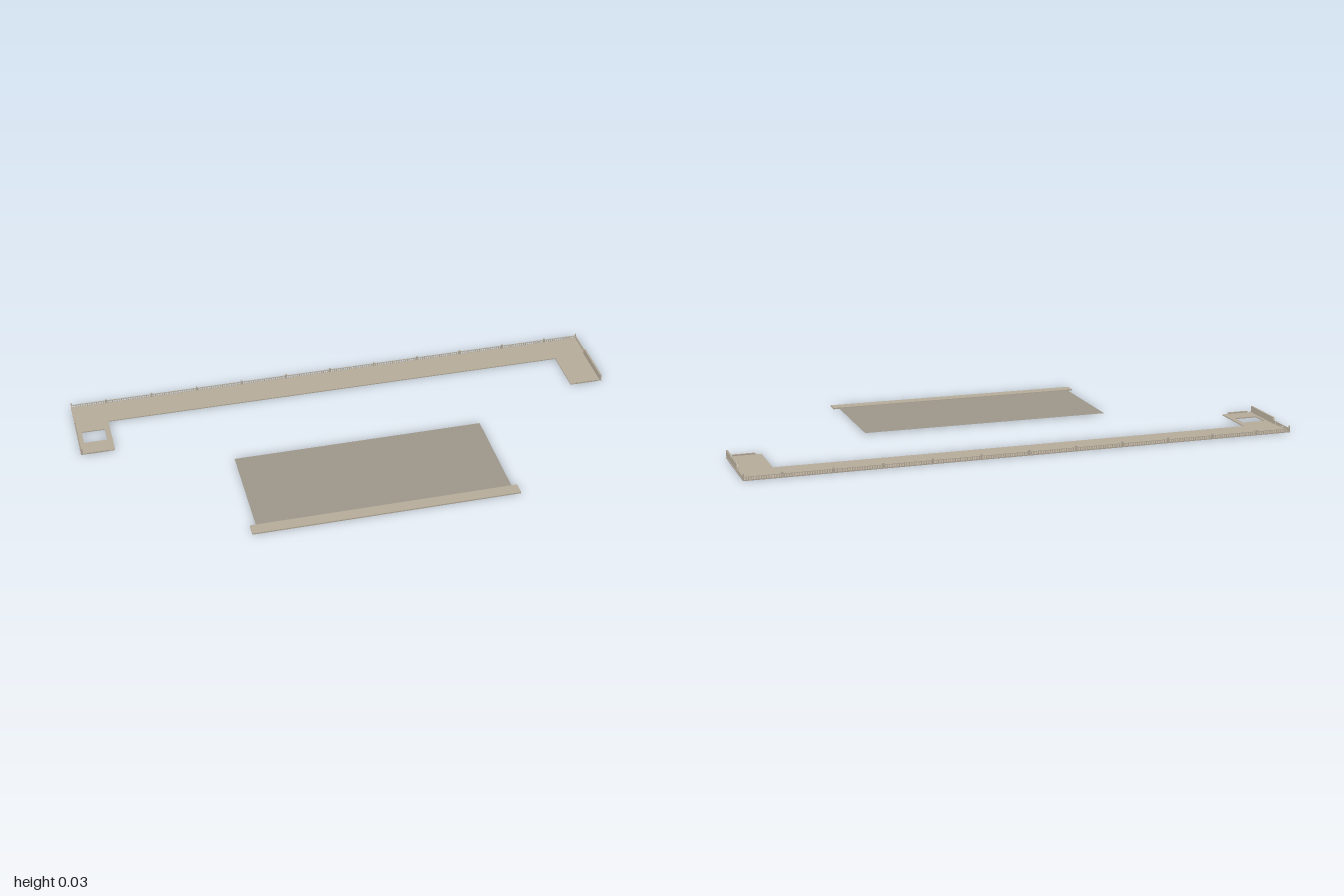
import * as THREE from 'three';
import { mergeGeometries } from 'three/addons/utils/BufferGeometryUtils.js';

const stone = new THREE.MeshStandardMaterial({ color: 0xb8ae9d, flatShading: true });
const slate = new THREE.MeshStandardMaterial({ color: 0x9f988c, flatShading: true, side: THREE.DoubleSide });

// Box given by its min and max corners
function block(x0, x1, y0, y1, z0, z1) {
  return new THREE.BoxGeometry(x1 - x0, y1 - y0, z1 - z0)
    .translate((x0 + x1) / 2, (y0 + y1) / 2, (z0 + z1) / 2);
}

function add(parent, name, geometry, material = stone) {
  const mesh = new THREE.Mesh(geometry, material);
  mesh.name = name;
  parent.add(mesh);
  return mesh;
}

const BASE = 0.004, RAIL = 0.0145, BACK = -0.45;

export function createModel() {
  const model = new THREE.Group();
  const terrace = new THREE.Group();
  terrace.name = 'terrace';
  model.add(terrace);

  // U-shaped deck with a square opening in the right arm
  const outline = [[-1, 0.45], [-1, 0.148], [-0.875, 0.148], [-0.875, 0.33],
    [0.875, 0.33], [0.875, 0.148], [1, 0.148], [1, 0.45]];
  const shape = new THREE.Shape(outline.map(p => new THREE.Vector2(...p)));
  const opening = [[-0.98, 0.214], [-0.98, 0.283], [-0.895, 0.283], [-0.895, 0.214]];
  shape.holes.push(new THREE.Path(opening.map(p => new THREE.Vector2(...p))));
  add(terrace, 'deck', new THREE.ExtrudeGeometry(shape, { depth: BASE, bevelEnabled: false })
    .rotateX(-Math.PI / 2));

  // Back balustrade: top rail, balusters and taller posts
  const back = [block(-1, 1, RAIL - 0.002, RAIL, BACK, BACK + 0.004)];
  const count = 232;
  for (let i = 0; i <= count; i++) {
    const x = -0.998 + 1.996 * i / count;
    back.push(block(x - 0.0012, x + 0.0012, BASE, RAIL - 0.002, BACK + 0.001, BACK + 0.0034));
  }
  for (let i = -5; i <= 5; i++) {
    const x = i * 0.1735;
    back.push(block(x - 0.003, x + 0.003, BASE, 0.02, BACK, BACK + 0.005));
  }
  add(terrace, 'backBalustrade', mergeGeometries(back));

  for (const side of [-1, 1]) {
    const end = new THREE.Group();
    end.name = side > 0 ? 'leftEnd' : 'rightEnd';
    terrace.add(end);

    // Parapet with a sloped rear corner
    const profile = [[0.147, 0], [0.336, 0], [0.336, 0.015], [0.328, 0.027], [0.147, 0.027]];
    const wall = new THREE.ExtrudeGeometry(
      new THREE.Shape(profile.map(p => new THREE.Vector2(...p))),
      { depth: 0.006, bevelEnabled: false }).rotateY(Math.PI / 2);
    add(end, 'parapet', wall.translate(side * 0.995 - 0.003, 0, 0));

    // Small finials on the parapet
    for (const z of [-0.235, -0.325]) {
      add(end, 'finial', new THREE.ConeGeometry(0.004, 0.005, 4)
        .translate(side * 0.995, 0.0292, z));
    }

    // Side balustrade and corner post
    const x = side * 0.998;
    const rail = [block(x - 0.002, x + 0.002, RAIL - 0.002, RAIL, BACK, -0.334)];
    for (let z = -0.442; z < -0.336; z += 0.0076) {
      rail.push(block(x - 0.0012, x + 0.0012, BASE, RAIL - 0.002, z - 0.0012, z + 0.0012));
    }
    rail.push(block(x - 0.002, x + 0.002, 0, 0.024, BACK, BACK + 0.004));
    add(end, 'sideBalustrade', mergeGeometries(rail));

    // Lip at the front of the arm
    add(end, 'armLip', block(side * 0.937 - 0.04, side * 0.937 + 0.04, 0.003, 0.009, -0.149, -0.143));
  }

  // Detached slab with a wider front edge
  const slab = new THREE.Group();
  slab.name = 'frontSlab';
  model.add(slab);
  add(slab, 'panel', new THREE.PlaneGeometry(0.926, 0.392).rotateX(-Math.PI / 2)
    .translate(0, 0.003, 0.209), slate);
  add(slab, 'frontEdge', block(-0.484, 0.484, 0, 0.005, 0.404, 0.45));

  return model;
}
